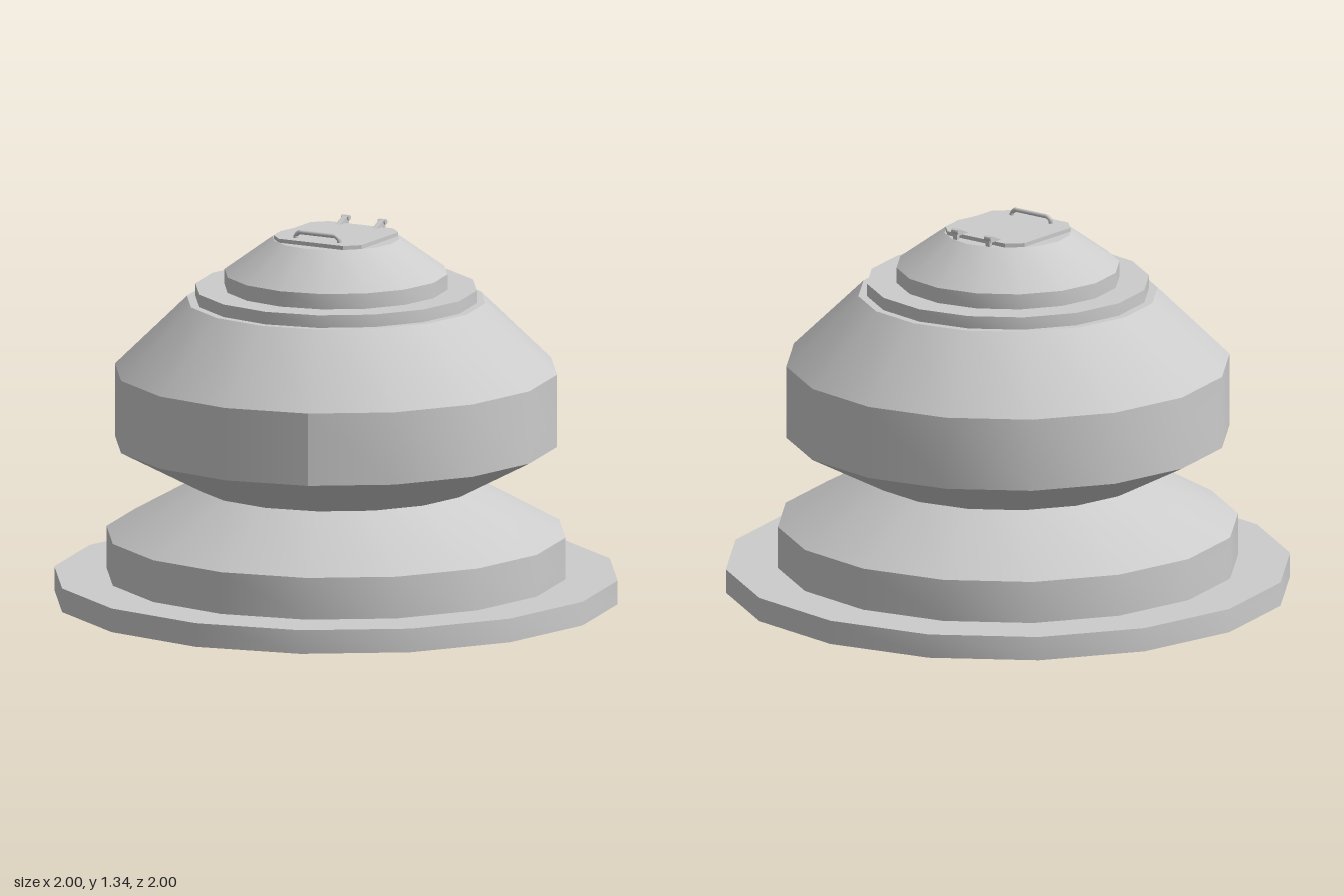
import * as THREE from 'three';
import { toCreasedNormals } from 'three/addons/utils/BufferGeometryUtils.js';

const SIDES = 16;

export function createModel() {
  const model = new THREE.Group();
  const material = new THREE.MeshStandardMaterial({ color: 0xcccccc });

  const add = (name, geometry, parent = model) => {
    const mesh = new THREE.Mesh(geometry, material);
    mesh.name = name;
    parent.add(mesh);
    return mesh;
  };

  // Turned part: smooth around its sides, sharp along profile corners
  const turned = (name, profile, segments = SIDES, start = 0, length = Math.PI * 2) => {
    const points = profile.map(([r, y]) => new THREE.Vector2(r, y));
    const geometry = new THREE.LatheGeometry(points, segments, start, length);
    return add(name, toCreasedNormals(geometry, 0.45));
  };

  // Stepped foot with a conical shoulder
  turned('basePlate', [[0, 0], [1, 0], [1, 0.085], [0.81, 0.085]]);
  turned('pedestal', [[0.815, 0.085], [0.815, 0.235], [0.5, 0.41]]);

  // Main body: flared underside, upright band, sloping roof
  turned('bodyUnderside', [[0.5, 0.41], [0.785, 0.56]]);
  turned('bodyRoof', [[0.785, 0.82], [0.53, 1.07], [0.49, 1.07]]);

  // Upright band, with a separate panel two sides wide at the front
  const step = Math.PI * 2 / SIDES;
  const band = [[0.785, 0.56], [0.785, 0.82]];
  turned('bodyBand', band, SIDES - 2, step, step * (SIDES - 2));
  turned('frontPanel', band, 2, -step, step * 2);

  // Collar and cap
  turned('collar', [[0.5, 1.07], [0.5, 1.115], [0.39, 1.115]]);
  turned('cap', [[0.395, 1.115], [0.395, 1.17], [0.225, 1.293], [0, 1.293]]);

  // Hatch lid with clipped corners
  const hatch = new THREE.Group();
  hatch.name = 'hatch';
  model.add(hatch);
  const h = 0.178, c = 0.13;
  const outline = new THREE.Shape([
    [h, -c], [h, c], [c, h], [-c, h], [-h, c], [-h, -c], [-c, -h], [c, -h],
  ].map(([x, y]) => new THREE.Vector2(x, y)));
  const lid = new THREE.ExtrudeGeometry(outline, { depth: 0.017, bevelEnabled: false });
  lid.rotateX(-Math.PI / 2).translate(0, 1.29, 0);
  add('hatchLid', lid, hatch);

  // Bent grab handle
  const path = new THREE.CurvePath();
  const corners = [[-0.088, 1.3], [-0.088, 1.318], [-0.072, 1.329], [0.072, 1.329], [0.088, 1.318], [0.088, 1.3]]
    .map(([x, y]) => new THREE.Vector3(x, y, 0.132));
  for (let i = 1; i < corners.length; i++) path.add(new THREE.LineCurve3(corners[i - 1], corners[i]));
  add('hatchHandle', new THREE.TubeGeometry(path, 30, 0.008, 8), hatch);

  // Two wedge-shaped hinges with a cross pin at the back
  const wedge = new THREE.Shape([[0.14, 1.306], [0.2, 1.306], [0.21, 1.328], [0.2, 1.332]]
    .map(([x, y]) => new THREE.Vector2(x, y)));
  for (const side of [-1, 1]) {
    const hinge = new THREE.Group();
    hinge.name = side > 0 ? 'leftHinge' : 'rightHinge';
    hinge.position.x = side * 0.074;
    hatch.add(hinge);
    const arm = new THREE.ExtrudeGeometry(wedge, { depth: 0.02, bevelEnabled: false });
    arm.translate(0, 0, -0.01).rotateY(Math.PI / 2);
    add('hingeArm', arm, hinge);
    const pin = new THREE.CylinderGeometry(0.01, 0.01, 0.03, 8);
    pin.rotateZ(Math.PI / 2).translate(0, 1.322, -0.2);
    add('hingePin', pin, hinge);
    const foot = new THREE.BoxGeometry(0.018, 0.04, 0.014);
    foot.translate(0, 1.302, -0.2);
    add('hingeFoot', foot, hinge);
  }

  return model;
}
